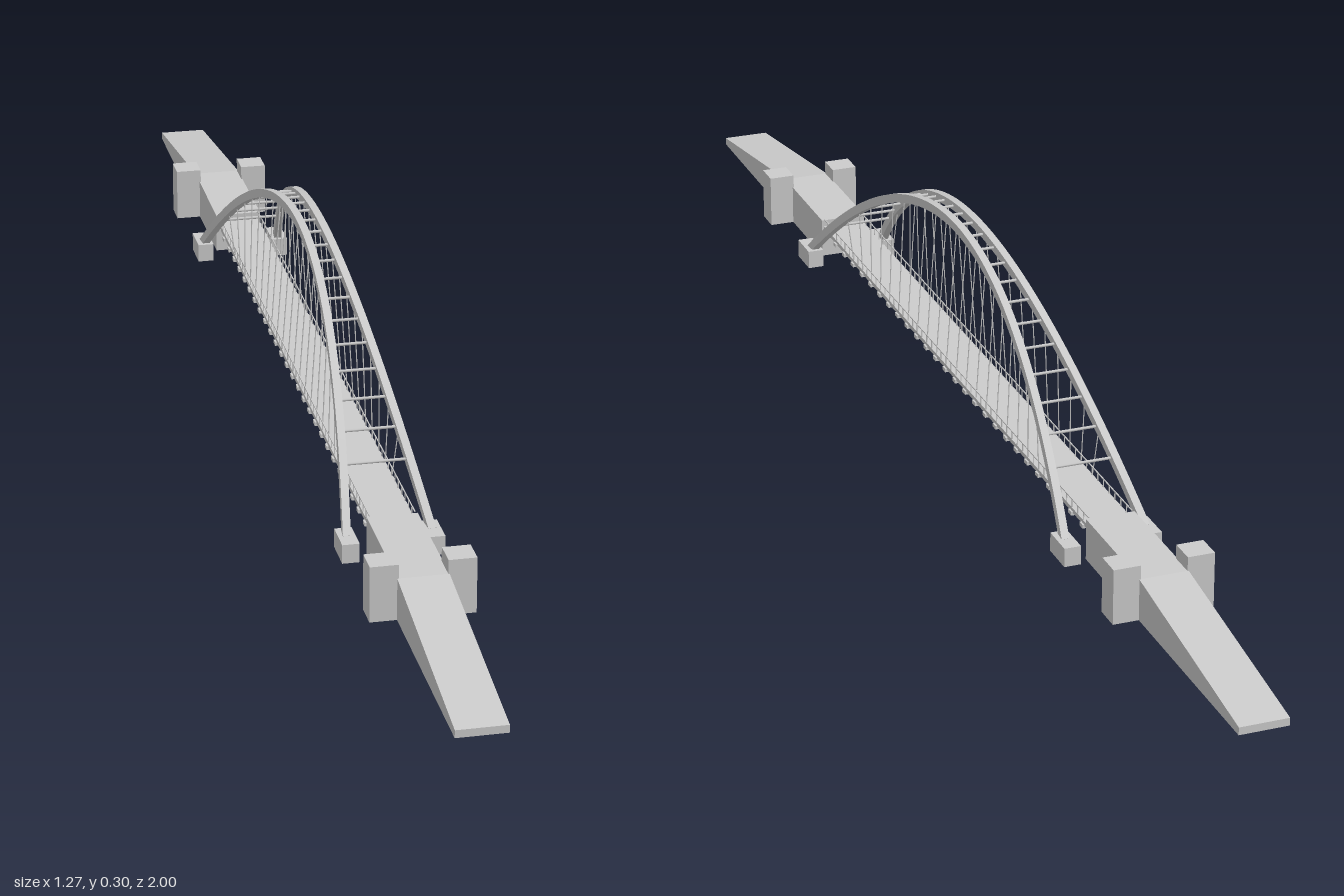
import * as THREE from 'three';

const HALF = 0.58;          // half span of the arches
const CROWN = 0.29, FOOT = 0.025;
const STEP = 0.0446;        // spacing of braces, hangers and crossbeams
const DECK_END = 0.6;

// Arch centreline: height and sideways offset at distance u along the bridge
const archY = (u) => CROWN - (CROWN - FOOT) * (u / HALF) ** 2;
const archZ = (u) => 0.016 + 0.048 * (u / HALF) ** 2;

export function createModel() {
  const mat = new THREE.MeshStandardMaterial({ color: 0xcccccc });
  const model = new THREE.Group();
  const bridge = new THREE.Group();
  bridge.name = 'archBridge';
  bridge.rotation.y = Math.atan2(0.98, 0.6025); // the bridge lies diagonally
  model.add(bridge);

  const add = (name, geo, x = 0, y = 0, z = 0) => {
    const m = new THREE.Mesh(geo, mat);
    m.name = name;
    m.position.set(x, y, z);
    bridge.add(m);
    return m;
  };
  const box = (name, w, h, d, x, y, z) => add(name, new THREE.BoxGeometry(w, h, d), x, y, z);
  const rod = (name, a, b, r, sides = 4) => {
    const dir = b.clone().sub(a);
    const m = add(name, new THREE.CylinderGeometry(r, r, dir.length(), sides));
    m.position.copy(a).add(b).multiplyScalar(0.5);
    m.quaternion.setFromUnitVectors(new THREE.Vector3(0, 1, 0), dir.normalize());
  };

  // Sloping approach ramps with a level part behind the towers
  const profile = new THREE.Shape([
    [DECK_END, 0], [1.15, 0], [1.15, 0.012], [0.8, 0.065], [DECK_END, 0.065],
  ].map(([x, y]) => new THREE.Vector2(x, y)));
  for (const turn of [0, Math.PI]) {
    const geo = new THREE.ExtrudeGeometry(profile, { depth: 0.076, bevelEnabled: false });
    geo.translate(0, 0, -0.038);
    add('approachRamp', geo).rotation.y = turn;
  }

  // Main deck with crossbeams beneath
  box('deck', 2 * DECK_END, 0.007, 0.07, 0, 0.0505, 0);
  for (let k = -13; k <= 13; k++) {
    box('crossbeam', 0.012, 0.006, 0.076, k * STEP, 0.046, 0);
  }

  for (const s of [-1, 1]) {
    // Square towers and arch footings at both ends
    for (const e of [-1, 1]) {
      box('tower', 0.042, 0.087, 0.042, e * 0.78, 0.0435, s * 0.057);
      box('archFooting', 0.056, 0.03, 0.026, e * 0.585, 0.015, s * 0.064);
    }

    // Leaning arch rib: a long box bent along the centreline
    const rib = new THREE.BoxGeometry(2 * HALF, 0.014, 0.012, 64, 1, 1);
    const p = rib.attributes.position;
    for (let i = 0; i < p.count; i++) {
      const u = p.getX(i), off = p.getY(i);
      const slope = -2 * (CROWN - FOOT) * u / HALF ** 2;
      const len = Math.hypot(1, slope);
      p.setXYZ(i, u - off * slope / len, archY(u) + off / len, p.getZ(i) + s * archZ(u));
    }
    rib.computeVertexNormals();
    add('archRib', rib);

    // Thin hangers from the arch to the deck edge
    for (let k = -10; k <= 10; k++) {
      const u = k * STEP;
      rod('hanger', new THREE.Vector3(u, archY(u), s * archZ(u)),
        new THREE.Vector3(u, 0.05, s * 0.034), 0.0009);
    }

    // Railing with posts
    box('handrail', 2 * DECK_END, 0.0016, 0.0016, 0, 0.067, s * 0.034);
    for (let k = -26; k <= 26; k++) {
      box('railPost', 0.0016, 0.014, 0.0016, k * STEP / 2, 0.06, s * 0.034);
    }
  }

  // Cross braces tying the two ribs together
  for (let k = -11; k <= 11; k++) {
    const u = k * STEP, z = archZ(u);
    rod('crossBrace', new THREE.Vector3(u, archY(u), -z), new THREE.Vector3(u, archY(u), z), 0.0025, 6);
  }

  return model;
}
